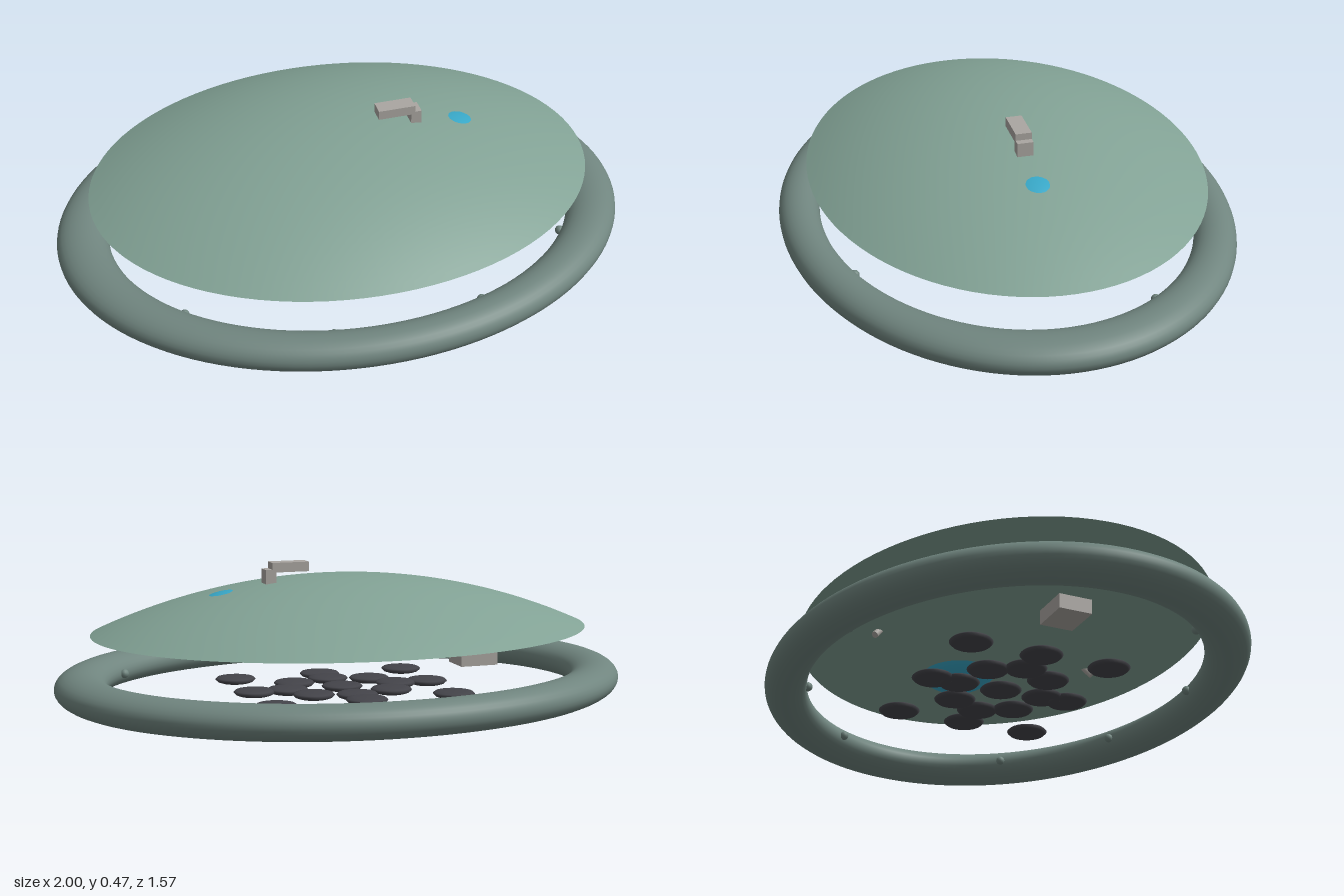
import * as THREE from 'three';

const mat = (name, color) => {
  const m = new THREE.MeshStandardMaterial({ color });
  m.name = name;
  return m;
};

export function createModel() {
  const hullGreen = mat('hull green', 0x82a295);
  const ringGreen = mat('ring grey green', 0x70857f);
  const metal = mat('pale metal', 0xaaa6a1);
  const glass = mat('blue glass', 0x38a8c8);
  const dark = mat('dark metal', 0x44444a);

  const DEPTH = 0.785; // depth to width ratio of the oval plan
  const model = new THREE.Group();
  const add = (name, geo, material, x = 0, y = 0, z = 0) => {
    const mesh = new THREE.Mesh(geo, material);
    mesh.name = name;
    mesh.position.set(x, y, z);
    model.add(mesh);
    return mesh;
  };

  // Oval outer ring with a flattened tube
  const ringGeo = new THREE.TorusGeometry(0.91, 0.09, 28, 120);
  ringGeo.rotateX(Math.PI / 2);
  ringGeo.scale(1, 0.0575 / 0.09, DEPTH);
  add('outerRing', ringGeo, ringGreen, 0, 0.0575, 0);

  // Shallow dome: an arc from rim to crown
  const rim = 0.875, height = 0.185;
  const R = (rim * rim + height * height) / (2 * height);
  const arc = [];
  for (let i = 0; i <= 24; i++) {
    const r = rim * (1 - i / 24);
    arc.push(new THREE.Vector2(r, 0.42 - R + Math.sqrt(R * R - r * r)));
  }
  const domeGeo = new THREE.LatheGeometry(arc, 96);
  domeGeo.scale(1, 1, 0.68 / rim);
  add('dome', domeGeo, hullGreen);

  // Nearly flat underside of the dome
  const under = [[0, 0.23], [0.62, 0.23], [rim, 0.235]].map(p => new THREE.Vector2(...p));
  const underGeo = new THREE.LatheGeometry(under, 96);
  underGeo.scale(1, 1, 0.68 / rim);
  add('domeUnderside', underGeo, hullGreen);

  // Glass pod that pokes through the dome, above and below
  const podGeo = new THREE.SphereGeometry(1, 48, 32);
  podGeo.scale(0.169, 0.102, 0.152);
  add('glassPod', podGeo, glass, 0.382, 0.282, 0);

  // Bent fitting on the roof
  add('roofArm', new THREE.BoxGeometry(0.13, 0.033, 0.055), metal, 0.195, 0.457, 0);
  add('roofPost', new THREE.BoxGeometry(0.037, 0.05, 0.055), metal, 0.265, 0.425, 0);

  // Block floating inside the ring
  add('rearBlock', new THREE.BoxGeometry(0.14, 0.05, 0.115), metal, -0.5, 0.103, 0);

  // Two short splayed pegs under the dome
  for (const side of [1, -1]) {
    const top = new THREE.Vector3(0.14, 0.24, side * 0.394);
    const end = new THREE.Vector3(0.124, 0.207, side * 0.42);
    const path = new THREE.Vector3().subVectors(top, end);
    const peg = add('underPeg', new THREE.CylinderGeometry(0.012, 0.012, path.length(), 12), metal);
    peg.position.addVectors(top, end).multiplyScalar(0.5);
    peg.quaternion.setFromUnitVectors(new THREE.Vector3(0, 1, 0), path.normalize());
  }

  // Thruster: rounded rim, closed top and dished bottom
  const thrusterGeo = new THREE.LatheGeometry([
    [0, 0.026], [0.042, 0.019], [0.052, 0.015], [0.064, 0.019],
    [0.072, 0.027], [0.066, 0.033], [0.045, 0.037], [0, 0.038],
  ].map(p => new THREE.Vector2(...p)), 32);
  const thruster = (x, z) => add('thruster', thrusterGeo, dark, x, 0, z);
  thruster(0, 0);
  for (let i = 0; i < 8; i++) {
    const a = i * Math.PI / 4;
    for (const r of [0.2, i % 2 ? 0.45 : 0.32]) {
      thruster(r * Math.cos(a), r * Math.sin(a) * DEPTH);
    }
  }

  // Small studs on the inner face of the ring
  const studGeo = new THREE.SphereGeometry(0.016, 12, 8);
  for (const deg of [30, 67, 104, 142]) {
    for (const side of [1, -1]) {
      const a = deg * Math.PI / 180;
      add('ringStud', studGeo, ringGreen, 0.815 * Math.cos(a), 0.058, side * 0.815 * Math.sin(a) * DEPTH);
    }
  }
  return model;
}
